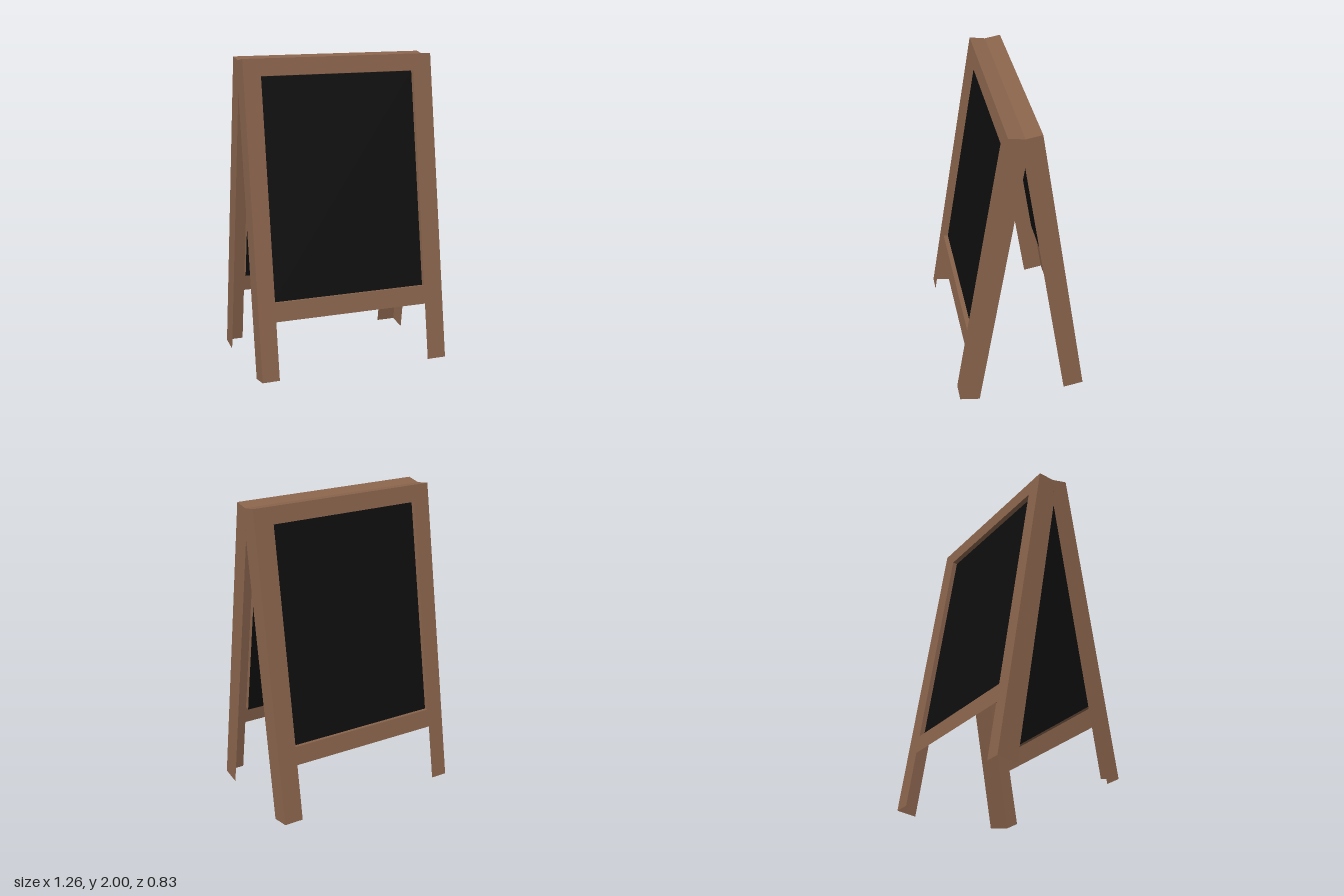
import * as THREE from 'three';

const wood = new THREE.MeshStandardMaterial({ color: 0x8b654d, side: THREE.DoubleSide });
wood.name = 'brown wood';
const slate = new THREE.MeshStandardMaterial({ color: 0x0e0e0e, side: THREE.DoubleSide });
slate.name = 'black slate';

// Panel measurements, in the panel's own plane (s runs up the slope, d is depth)
const TILT = Math.atan2(0.315, 1.975);
const HALF = 0.632, LEFT = 0.505, RIGHT = -0.52;
const LENGTH = 2, RAIL = 0.37, SILL = 0.491, HEAD = 1.892;
const RECESS = 0.031, DEPTH = 0.1315;
const MID_X = (LEFT + RIGHT) / 2, OPEN_W = LEFT - RIGHT, OPEN_H = HEAD - SILL;

const outline = (points) => points.map(([x, y]) => new THREE.Vector2(x, y));

function add(parent, name, geometry, material, x = 0, y = 0, z = 0) {
  const mesh = new THREE.Mesh(geometry, material);
  mesh.name = name;
  mesh.position.set(x, y, z);
  parent.add(mesh);
}

function createPanel(name) {
  const panel = new THREE.Group();
  panel.name = name;

  // Face of the frame, with two legs and the window opening
  const face = new THREE.Shape(outline([
    [-HALF, 0], [RIGHT, 0], [RIGHT, RAIL], [LEFT, RAIL],
    [LEFT, 0], [HALF, 0], [HALF, LENGTH], [-HALF, LENGTH],
  ]));
  face.holes.push(new THREE.Path(outline([
    [RIGHT, SILL], [RIGHT, HEAD], [LEFT, HEAD], [LEFT, SILL],
  ])));
  add(panel, 'frameFace', new THREE.ShapeGeometry(face), wood);

  // Outer side walls, cut where the two panels meet
  const side = new THREE.Shape(outline([
    [0, 0], [0, LENGTH], [-0.1013, LENGTH], [-DEPTH, 1.81], [-DEPTH, 0],
  ]));
  for (const s of [-1, 1]) {
    const wall = new THREE.ShapeGeometry(side).rotateY(-s * Math.PI / 2);
    if (s < 0) wall.rotateY(Math.PI);
    add(panel, s > 0 ? 'leftSideWall' : 'rightSideWall', wall, wood, s * HALF);
  }

  // Top wall
  const top = new THREE.PlaneGeometry(2 * HALF, 0.1013).rotateX(-Math.PI / 2);
  add(panel, 'topWall', top, wood, 0, LENGTH, -0.1013 / 2);

  // Recess lips around the board
  const z = -RECESS / 2, midS = (SILL + HEAD) / 2;
  const across = () => new THREE.PlaneGeometry(OPEN_W, RECESS);
  const upright = () => new THREE.PlaneGeometry(RECESS, OPEN_H);
  add(panel, 'lowerLip', across().rotateX(-Math.PI / 2), wood, MID_X, SILL, z);
  add(panel, 'upperLip', across().rotateX(Math.PI / 2), wood, MID_X, HEAD, z);
  add(panel, 'leftLip', upright().rotateY(-Math.PI / 2), wood, LEFT, midS, z);
  add(panel, 'rightLip', upright().rotateY(Math.PI / 2), wood, RIGHT, midS, z);

  // Writing board
  add(panel, 'board', new THREE.PlaneGeometry(OPEN_W, OPEN_H), slate, MID_X, midS, -RECESS);

  panel.position.set(0, 0.025, 0.415);
  panel.rotation.x = -TILT;
  return panel;
}

export function createModel() {
  const model = new THREE.Group();
  model.name = 'sandwichBoard';
  model.add(createPanel('frontPanel'));

  // Back panel mirrors the front one
  const back = new THREE.Group();
  back.name = 'backHalf';
  back.add(createPanel('backPanel'));
  back.scale.z = -1;
  model.add(back);
  return model;
}
